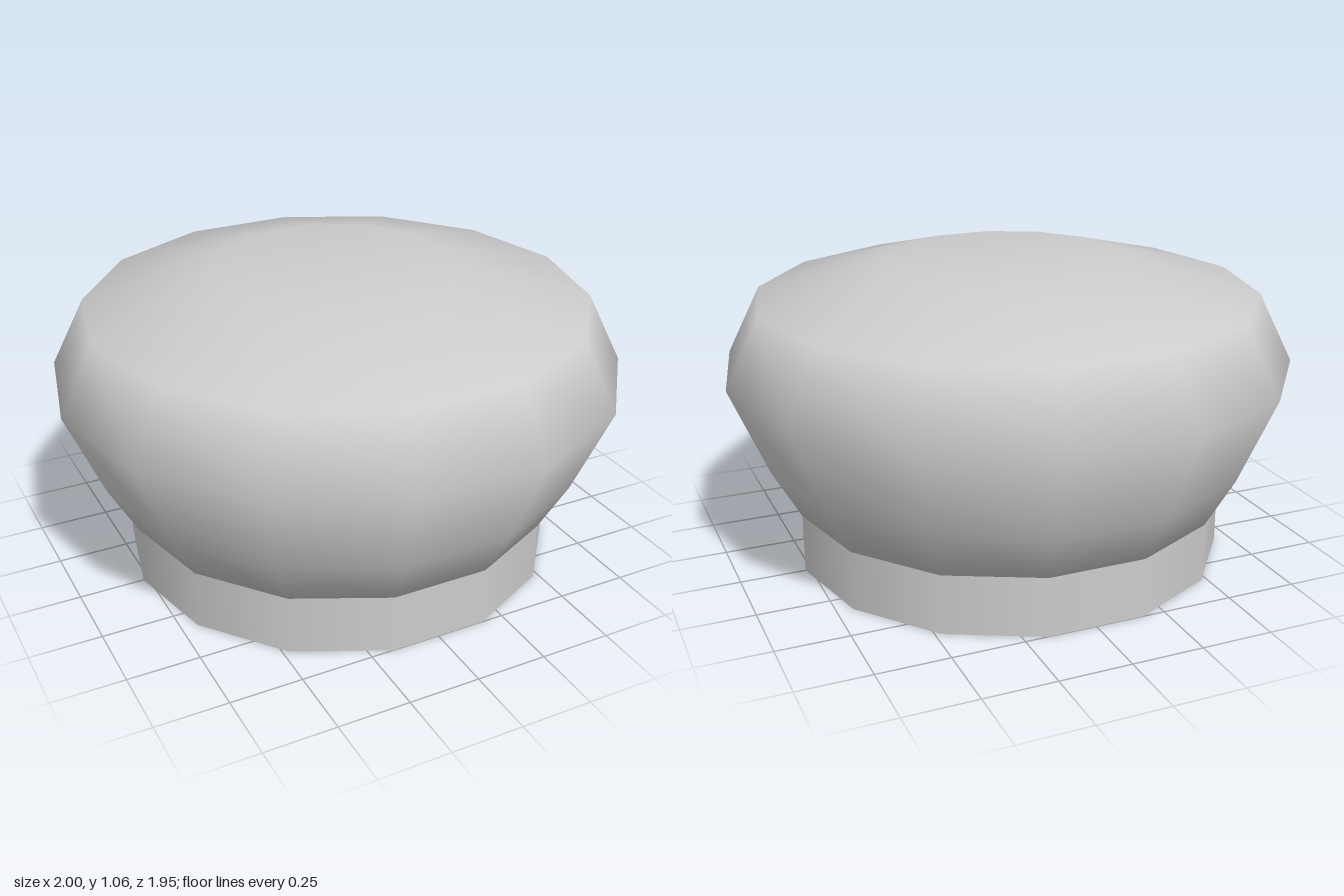
import * as THREE from 'three';

const SIDES = 14;

export function createModel() {
  const group = new THREE.Group();
  const grey = new THREE.MeshStandardMaterial({ color: 0xcccccc, side: THREE.DoubleSide });
  grey.name = 'light grey';

  // Bulging faceted body with closed underside and flat top
  const profile = [
    [0, 0.21], [0.77, 0.21], [0.87, 0.39], [1, 0.7],
    [0.88, 0.94], [0.42, 1.06], [0, 1.06],
  ].map(([r, y]) => new THREE.Vector2(r, y));
  const body = new THREE.Mesh(new THREE.LatheGeometry(profile, SIDES, Math.PI / 2), grey);
  body.name = 'domeBody';
  group.add(body);

  // Thin collar, open underneath
  const collar = new THREE.Mesh(
    new THREE.CylinderGeometry(0.77, 0.77, 0.21, SIDES, 1, true, Math.PI / 2), grey);
  collar.position.y = 0.105;
  collar.name = 'baseCollar';
  group.add(collar);

  return group;
}
